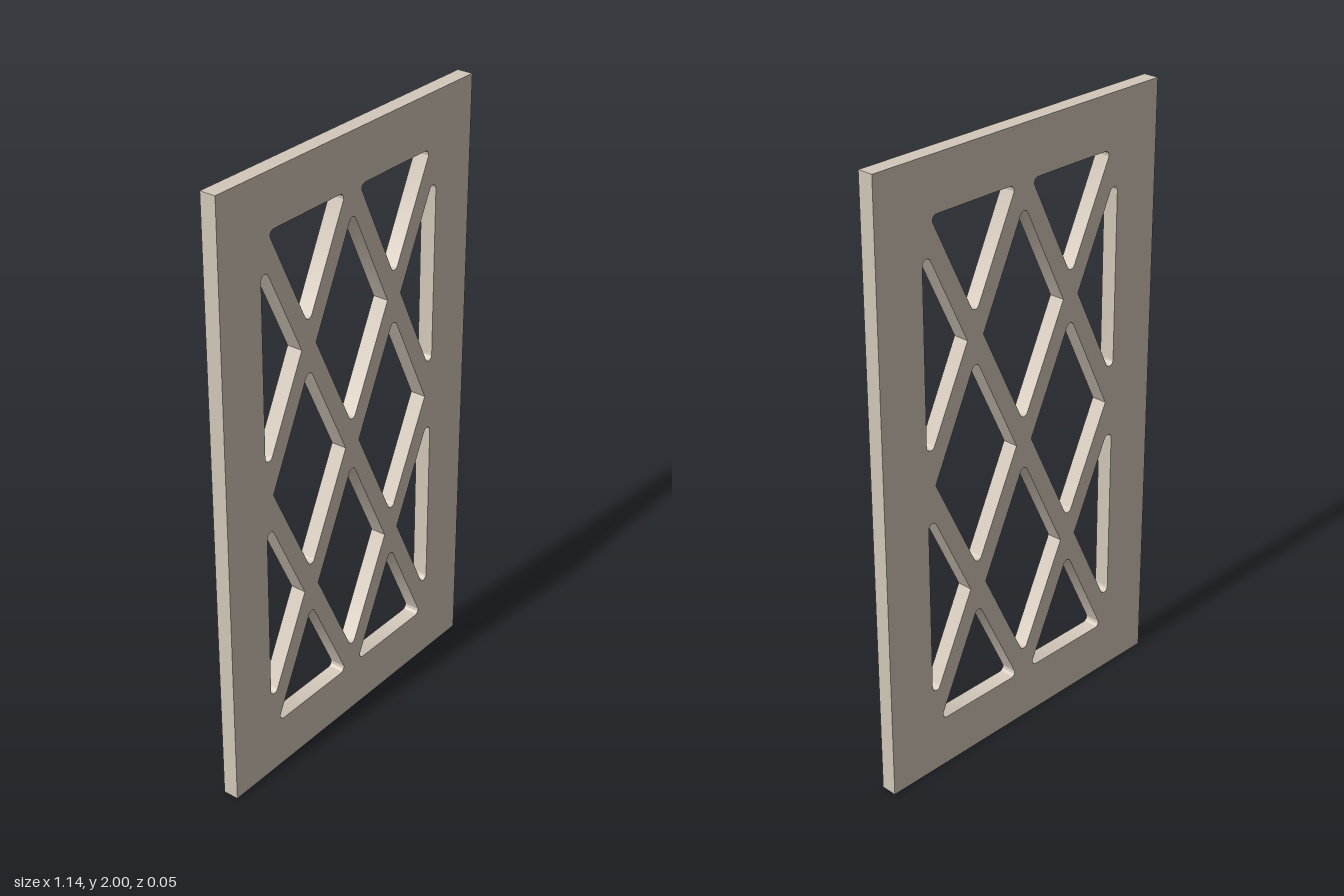
import * as THREE from 'three';
import { toCreasedNormals } from 'three/addons/utils/BufferGeometryUtils.js';

const WIDTH = 1.14, HEIGHT = 2, DEPTH = 0.052;
const MID = 1, PITCH_X = 0.2, PITCH_Y = 0.414; // lattice centre and half-spacing
const HALF_W = 0.168, HALF_H = 0.348; // sharp diamond half sizes
const EDGE_X = 0.4, EDGE_Y = 0.828; // inner edges of the frame, from the centre
const R = 0.016; // fillet of the openings' narrow corners

// Closed outline from [x, y, radius] corners, filleted where radius > 0;
// the first corner must be a filleted one
function roundedHole(corners) {
  const path = new THREE.Path();
  const n = corners.length;
  corners.forEach(([x, y, r], i) => {
    if (!r) {
      path.lineTo(x, y);
      return;
    }
    const p = new THREE.Vector2(x, y);
    const toward = (c) => new THREE.Vector2(c[0], c[1]).sub(p).normalize();
    const a = toward(corners[(i + n - 1) % n]);
    const b = toward(corners[(i + 1) % n]);
    const half = Math.acos(a.dot(b)) / 2;
    const c = a.clone().add(b).setLength(r / Math.sin(half)).add(p);
    const d = r / Math.tan(half);
    const start = a.clone().multiplyScalar(d).add(p).sub(c).angle();
    const end = b.clone().multiplyScalar(d).add(p).sub(c).angle();
    path.absarc(c.x, c.y, r, start, end, a.cross(b) > 0);
  });
  path.closePath();
  return path;
}

// Diamond opening: sharp at the sides, rounded at top and bottom
const diamond = (x, y) => roundedHole([
  [x, y + HALF_H, R], [x - HALF_W, y, 0], [x, y - HALF_H, R], [x + HALF_W, y, 0],
]);

// Half diamond against a side rail (s = -1 or 1)
function sideTriangle(s, y) {
  const tip = 2 * PITCH_X - HALF_W;
  const rise = (EDGE_X - tip) * HALF_H / HALF_W;
  return roundedHole([[s * EDGE_X, y + rise, R], [s * EDGE_X, y - rise, R], [s * tip, y, 0]]);
}

// Half diamond against the top or bottom rail (s = 1 or -1)
function endTriangle(x, s) {
  const tip = 2 * PITCH_Y - HALF_H;
  const run = (EDGE_Y - tip) * HALF_W / HALF_H;
  return roundedHole([
    [x, MID + s * tip, R], [x + run, MID + s * EDGE_Y, R], [x - run, MID + s * EDGE_Y, R],
  ]);
}

export function createModel() {
  const group = new THREE.Group();
  group.name = 'latticePanel';

  // Rectangular panel outline
  const w = WIDTH / 2;
  const shape = new THREE.Shape([
    new THREE.Vector2(-w, 0), new THREE.Vector2(w, 0),
    new THREE.Vector2(w, HEIGHT), new THREE.Vector2(-w, HEIGHT),
  ]);

  // Lattice openings, mirrored in both directions
  for (const s of [-1, 1]) {
    shape.holes.push(diamond(0, MID + s * PITCH_Y), diamond(s * PITCH_X, MID));
    for (const t of [-1, 1]) {
      // Side triangles reach in to the bars crossing at x = ±PITCH_X
      shape.holes.push(sideTriangle(s, MID + t * PITCH_Y), endTriangle(s * PITCH_X, t));
    }
  }

  // Frame and crossing bars in one flat slab
  const slab = new THREE.ExtrudeGeometry(shape, { depth: DEPTH, bevelEnabled: false, curveSegments: 8 });
  slab.translate(0, 0, -DEPTH / 2);
  const panel = new THREE.Mesh(
    toCreasedNormals(slab, Math.PI / 6),
    new THREE.MeshStandardMaterial({ color: 0xd2c7b9 }),
  );
  panel.name = 'latticeFrame';
  group.add(panel);
  return group;
}
